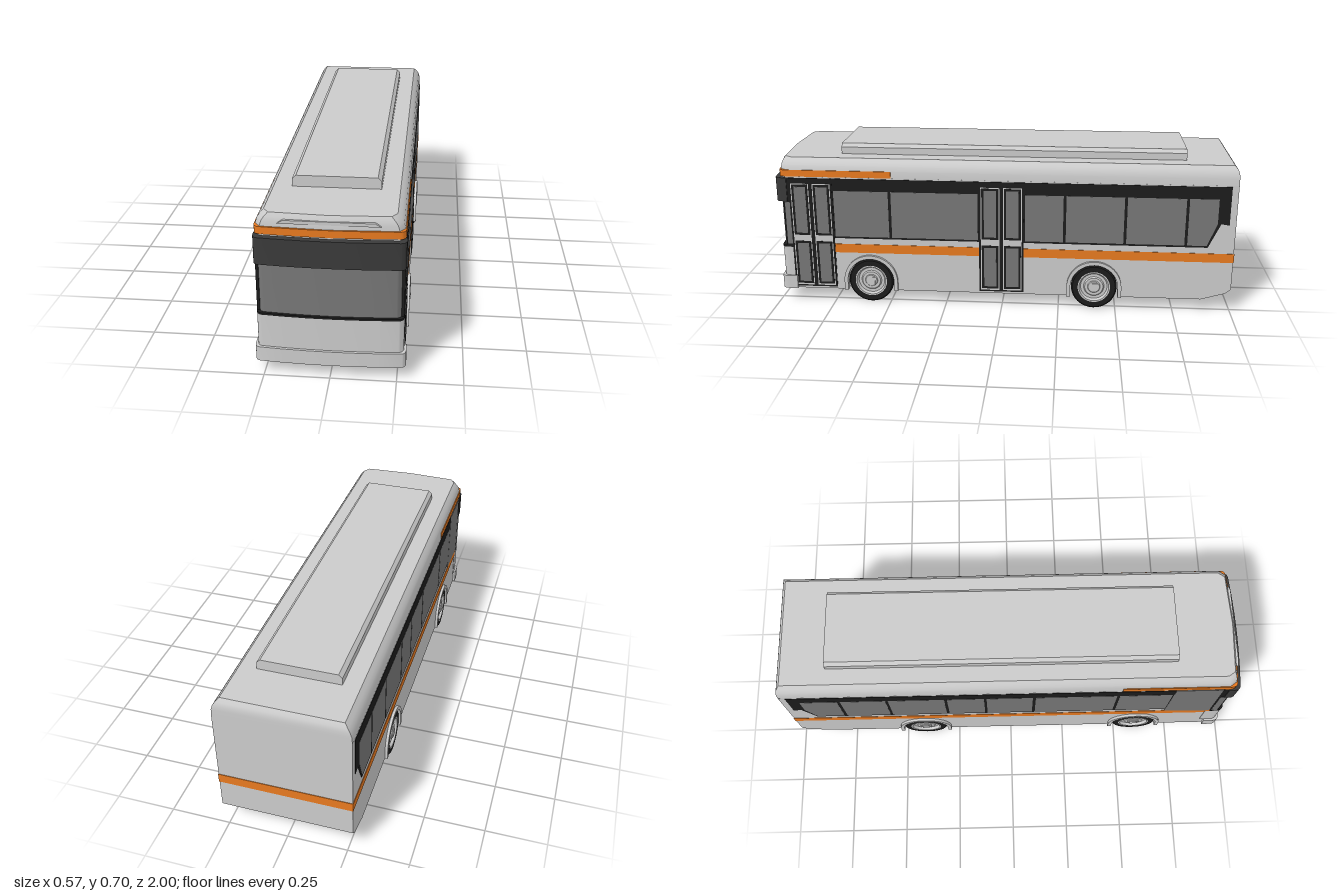
import * as THREE from 'three';
import { toCreasedNormals } from 'three/addons/utils/BufferGeometryUtils.js';

const mat = (color) => new THREE.MeshStandardMaterial({ color });
const grey = mat(0xcccccc), black = mat(0x1c1c1c), band = mat(0x3a3a3a);
const glass = mat(0x777777), orange = mat(0xe87a20);
const AXLES = [0.585, -0.405];

export function createModel() {
  const bus = new THREE.Group();
  bus.name = 'bus';

  const add = (name, geometry, material, parent = bus) => {
    const mesh = new THREE.Mesh(geometry, material);
    mesh.name = name;
    parent.add(mesh);
    return mesh;
  };

  // Outline of [z, y] points, extruded across x from x0 to x1
  const side = (pts, x0, x1) => {
    const shape = new THREE.Shape(pts.map(([z, y]) => new THREE.Vector2(z, y)));
    const g = new THREE.ExtrudeGeometry(shape, { depth: x1 - x0, bevelEnabled: false });
    g.rotateY(-Math.PI / 2).translate(x1, 0, 0);
    return toCreasedNormals(g, 0.6);
  };
  const rect = (z0, z1, y0, y1) => [[z0, y0], [z1, y0], [z1, y1], [z0, y1]];
  // Thin panel on one flank: s = 1 is left, -1 is right
  const panel = (name, s, pts, x, material) =>
    add(name, s > 0 ? side(pts, 0.262, x) : side(pts, -x, -0.262), material);

  // Plan outline with bowed front and rounded front corners, extruded up
  const slab = (w, zb, zf, y0, y1) => {
    const s = new THREE.Shape();
    s.moveTo(-w, -zb);
    s.lineTo(w, -zb);
    s.lineTo(w, -(zf - 0.04));
    s.quadraticCurveTo(w, -(zf - 0.014), w - 0.02, -(zf - 0.011));
    s.quadraticCurveTo(0, -(zf + 0.011), -w + 0.02, -(zf - 0.011));
    s.quadraticCurveTo(-w, -(zf - 0.014), -w, -(zf - 0.04));
    const g = new THREE.ExtrudeGeometry(s, { depth: y1 - y0, bevelEnabled: false, curveSegments: 6 });
    g.rotateX(-Math.PI / 2).translate(0, y0, 0);
    return toCreasedNormals(g, 0.6);
  };

  // Half-circle over a wheel with straight legs, front to back
  const arch = (cz, r) => {
    const pts = [[cz + r, 0.055]];
    for (let i = 0; i <= 20; i++) {
      const a = (i / 20) * Math.PI;
      pts.push([cz + r * Math.cos(a), 0.1 + r * Math.sin(a)]);
    }
    pts.push([cz - r, 0.055]);
    return pts;
  };

  // Main body with wheel wells cut through it
  add('body', side([
    [0.92, 0.055], ...arch(AXLES[0], 0.106), ...arch(AXLES[1], 0.106),
    [-0.87, 0.055], [-0.975, 0.085], [-0.998, 0.105], [-0.998, 0.575], [0.92, 0.575],
  ], -0.272, 0.272), grey);

  // Roof lofted from plan rings that draw in towards the top
  const rings = [
    [0.57, 0.272, -0.998, 0.978], [0.605, 0.27, -0.998, 0.976], [0.625, 0.264, -0.997, 0.974],
    [0.64, 0.254, -0.992, 0.97], [0.655, 0.24, -0.98, 0.962],
  ];
  const pos = [], index = [], n = 7;
  for (const [y, w, zb, zf] of rings) {
    for (const [x, z] of [[w, zb], [-w, zb], [-w, zf - 0.04], [-w + 0.02, zf - 0.011],
      [0, zf], [w - 0.02, zf - 0.011], [w, zf - 0.04]]) pos.push(x, y, z);
  }
  for (let i = 0; i < rings.length - 1; i++) {
    for (let j = 0; j < n; j++) {
      const a = i * n + j, b = i * n + (j + 1) % n;
      index.push(a, b, b + n, a, b + n, a + n);
    }
  }
  const top = (rings.length - 1) * n;
  for (let j = 1; j < n - 1; j++) index.push(top, top + j, top + j + 1);
  const roof = new THREE.BufferGeometry();
  roof.setAttribute('position', new THREE.Float32BufferAttribute(pos, 3));
  roof.setIndex(index);
  add('roof', toCreasedNormals(roof, 0.6), grey);

  // Roof unit with chamfered upper edges
  const pod = new THREE.Shape([[-0.17, 0.65], [0.17, 0.65], [0.17, 0.685], [0.155, 0.7], [-0.155, 0.7], [-0.17, 0.685]]
    .map(([x, y]) => new THREE.Vector2(x, y)));
  add('roofUnit', new THREE.ExtrudeGeometry(pod, { depth: 1.5, bevelEnabled: false }).translate(0, 0, -0.787), grey);
  const lip = new THREE.Shape([[-0.185, 0.622], [0.185, 0.622], [0.165, 0.635], [-0.165, 0.635]]
    .map(([x, y]) => new THREE.Vector2(x, y)));
  add('roofLip', new THREE.ExtrudeGeometry(lip, { depth: 0.03, bevelEnabled: false }).translate(0, 0, 0.945), grey);

  // Front end, bottom to top
  add('bumper', slab(0.283, 0.92, 1.0, 0.055, 0.115), grey);
  add('frontPanel', slab(0.274, 0.9, 0.99, 0.11, 0.25), grey);
  add('windscreenSill', slab(0.274, 0.92, 0.992, 0.25, 0.258), black);
  add('windscreen', slab(0.264, 0.9, 0.982, 0.255, 0.47), glass);
  add('frontBand', slab(0.2765, 0.94, 1.0, 0.463, 0.57), band);
  add('upperStripe', slab(0.2735, 0.48, 0.981, 0.576, 0.605), orange);

  // Waist stripe around flanks and back
  add('waistStripe', side(rect(-1, 0.92, 0.23, 0.27), -0.2738, 0.2738), orange);

  // Side windows on a black surround
  const panes = {
    '-1': [[0.705, 0.475], [0.463, 0.108], [0.095, -0.107], [-0.118, -0.28], [-0.292, -0.537], [-0.548, -0.745], [-0.758, -0.88]],
    '1': [[0.735, 0.495], [0.483, 0.105], [-0.1, -0.265], [-0.277, -0.525], [-0.537, -0.785], [-0.797, -0.88]],
  };
  for (const s of [-1, 1]) {
    panel('windowSurround', s, [[0.715 + (s > 0 ? 0.03 : 0), 0.57], [-0.97, 0.57], [-0.97, 0.4], [-0.935, 0.405],
      [-0.885, 0.297], [0.715 + (s > 0 ? 0.03 : 0), 0.297]], 0.2738, black);
    for (const [z0, z1] of panes[s]) {
      const last = z1 === -0.88;
      panel('sideWindow', s, last
        ? [[z0, 0.305], [z1, 0.305], [-0.92, 0.405], [-0.92, 0.515], [z0, 0.515]]
        : rect(z1, z0, 0.305, 0.515), 0.2746, glass);
    }
    // Quarter light beside the windscreen
    panel('quarterFrame', s, rect(0.915, 0.958, 0.255, 0.57), 0.273, black);
    panel('quarterWindow', s, rect(0.925, 0.952, 0.265, 0.46), 0.274, glass);
  }
  panel('driverWindow', -1, [[0.915, 0.262], [0.915, 0.57], [0.713, 0.57], [0.705, 0.275]], 0.2746, glass);

  // Two-leaf doors on the left flank
  for (const [z0, z1] of [[-0.095, 0.1], [0.74, 0.93]]) {
    const door = new THREE.Group();
    door.name = 'door';
    bus.add(door);
    add('doorFrame', side(rect(z0, z1, 0.065, 0.57), 0.262, 0.2755), black, door);
    const w = (z1 - z0) / 2;
    for (const k of [0, 1]) {
      const a = z0 + k * w + 0.008, b = a + w - 0.016;
      add('doorLeaf', side(rect(a, b, 0.072, 0.545), 0.262, 0.2762), grey, door);
      for (const [y0, y1] of [[0.085, 0.275], [0.315, 0.535]]) {
        add('paneSeal', side(rect(a + 0.004, b - 0.004, y0 - 0.006, y1 + 0.006), 0.262, 0.2768), black, door);
        add('doorPane', side(rect(a + 0.014, b - 0.014, y0 + 0.004, y1 - 0.004), 0.262, 0.2774), glass, door);
      }
    }
  }

  // Wheels and arch trims
  const lathe = (pts) => {
    const g = new THREE.LatheGeometry(pts.map(([r, y]) => new THREE.Vector2(r, y)), 32);
    return toCreasedNormals(g.rotateZ(-Math.PI / 2), 0.5);
  };
  const tyre = lathe([[0.07, 0], [0.092, 0], [0.1, 0.005], [0.1, 0.021], [0.094, 0.027], [0.07, 0.027]]);
  const rim = lathe([[0, 0.001], [0.071, 0.001], [0.071, 0.028], [0.065, 0.028], [0.058, 0.016],
    [0.045, 0.016], [0.04, 0.022], [0.028, 0.022], [0.025, 0.026], [0, 0.026]]);
  for (const s of [-1, 1]) {
    for (const z of AXLES) {
      const wheel = new THREE.Group();
      wheel.name = 'wheel';
      wheel.position.set(s * 0.25, 0.1, z);
      wheel.rotation.y = s > 0 ? 0 : Math.PI;
      add('tyre', tyre, black, wheel);
      add('rim', rim, grey, wheel);
      add('hub', new THREE.BoxGeometry(0.008, 0.034, 0.034).translate(0.026, 0, 0), grey, wheel);
      bus.add(wheel);
      panel('archTrim', s, [...arch(z, 0.12), ...arch(z, 0.104).reverse()], 0.284, grey);
    }
  }
  return bus;
}
